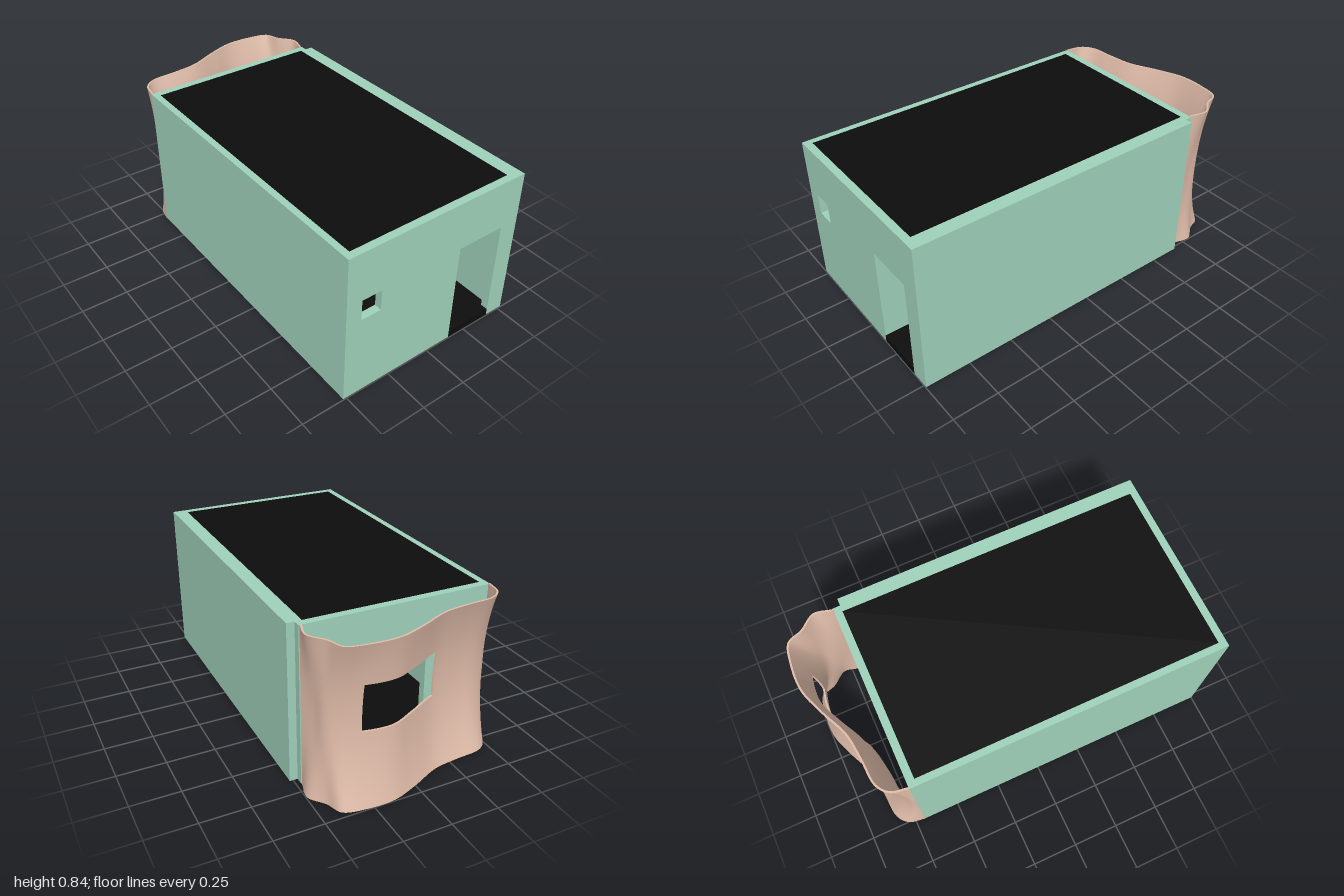
import * as THREE from 'three';
import { mergeGeometries, toCreasedNormals } from 'three/addons/utils/BufferGeometryUtils.js';

const green = new THREE.MeshStandardMaterial({ color: 0x9fd1ba });
const black = new THREE.MeshStandardMaterial({ color: 0x0d0d0d });
const clay = new THREE.MeshStandardMaterial({ color: 0xe0bca9, side: THREE.DoubleSide });

const BASE = 0.006, TOP = 0.84, FLOOR = 0.043, CEILING = 0.803;

function add(group, name, geometry, material) {
  const mesh = new THREE.Mesh(geometry, material);
  mesh.name = name;
  group.add(mesh);
  return mesh;
}

// Box given by its limits on each axis
function block(group, name, material, [x0, x1], [y0, y1], [z0, z1]) {
  const mesh = add(group, name, new THREE.BoxGeometry(x1 - x0, y1 - y0, z1 - z0), material);
  mesh.position.set((x0 + x1) / 2, (y0 + y1) / 2, (z0 + z1) / 2);
}

// Upright wall facing z, with a doorway cut from its foot and optional windows
function wall(group, name, [x0, x1], [z0, z1], door, windows = []) {
  const shape = new THREE.Shape([
    [x0, BASE], [door.x0, BASE], [door.x0, door.top], [door.x1, door.top],
    [door.x1, BASE], [x1, BASE], [x1, TOP], [x0, TOP],
  ].map(p => new THREE.Vector2(...p)));
  for (const [a, b, c, d] of windows) {
    shape.holes.push(new THREE.Path([[a, c], [a, d], [b, d], [b, c]].map(p => new THREE.Vector2(...p))));
  }
  const geometry = new THREE.ExtrudeGeometry(shape, { depth: z1 - z0, bevelEnabled: false });
  add(group, name, geometry, green).position.z = z0;
}

// Wavy screen: plan curve at top and foot blends into a shallower one at mid height
function screenGeometry() {
  const height = 0.843, thickness = 0.01, steps = 6;
  const curve = pts => new THREE.CatmullRomCurve3(pts.map(([x, z]) => new THREE.Vector3(x, 0, z)));
  const edge = curve([[-0.52, -0.7], [-0.5, -0.79], [-0.44, -0.84], [-0.3, -0.855], [-0.16, -0.875], [0, -0.945],
    [0.14, -0.994], [0.285, -0.994], [0.4, -0.965], [0.435, -0.885], [0.495, -0.8], [0.475, -0.7]]);
  const middle = curve([[-0.52, -0.7], [-0.495, -0.725], [-0.42, -0.76], [-0.3, -0.775], [-0.16, -0.805], [0, -0.885],
    [0.13, -0.94], [0.285, -0.925], [0.39, -0.885], [0.43, -0.85], [0.45, -0.78], [0.475, -0.7]]);
  const last = 11;
  const at = (u, v) => {
    const t = THREE.MathUtils.clamp(u / last, 0, 1);
    return edge.getPoint(t).lerp(middle.getPoint(t), 1 - (2 * v - 1) ** 2);
  };
  const patch = (u0, u1, v0, v1, rows) => {
    const geometry = new THREE.BoxGeometry(1, 1, 1, (u1 - u0) * steps, rows, 1);
    const pos = geometry.attributes.position;
    for (let i = 0; i < pos.count; i++) {
      const u = u0 + (u1 - u0) * (pos.getX(i) + 0.5);
      const v = v0 + (v1 - v0) * (pos.getY(i) + 0.5);
      const p = at(u, v);
      const along = at(u + 0.02, v).sub(at(u - 0.02, v)).normalize();
      const offset = thickness * (pos.getZ(i) + 0.5);
      pos.setXYZ(i, p.x - along.z * offset, v * height, p.z + along.x * offset);
    }
    return geometry;
  };
  // Four patches leave the window open between control points 4 and 7
  const sill = 0.445, head = 0.736;
  return toCreasedNormals(mergeGeometries([
    patch(0, last, 0, sill, 10),
    patch(0, 4, sill, head, 7),
    patch(7, last, sill, head, 7),
    patch(0, last, head, 1, 7),
  ]), 0.7);
}

export function createModel() {
  const model = new THREE.Group();
  model.name = 'house';

  // Outer walls
  const shell = new THREE.Group();
  shell.name = 'walls';
  model.add(shell);
  wall(shell, 'frontWall', [-0.52, 0.52], [0.96, 1], { x0: 0.145, x1: 0.415, top: 0.572 },
    [[-0.435, -0.325, 0.458, 0.572]]);
  wall(shell, 'backWall', [-0.52, 0.48], [-0.7, -0.66], { x0: -0.18, x1: 0.28, top: 0.62 });
  block(shell, 'sideWall', green, [-0.52, -0.485], [BASE, TOP], [-0.66, 0.96]);
  block(shell, 'thickSideWall', green, [0.445, 0.52], [BASE, TOP], [-0.66, 0.96]);

  // Small room beside the entrance, with a full-height gap as its doorway
  block(shell, 'crossPartition', green, [-0.485, 0.145], [FLOOR, CEILING], [0.485, 0.52]);
  block(shell, 'entrancePartition', green, [0.108, 0.145], [FLOOR, CEILING], [0.8, 0.96]);
  block(shell, 'doorwayHead', green, [0.108, 0.145], [0.572, CEILING], [0.52, 0.8]);

  // Floor, thresholds and ceiling
  block(model, 'floor', black, [-0.485, 0.445], [BASE, FLOOR], [-0.66, 0.96]);
  block(model, 'frontThreshold', black, [0.145, 0.415], [BASE, FLOOR], [0.96, 1]);
  block(model, 'backThreshold', green, [-0.18, 0.28], [BASE, FLOOR], [-0.7, -0.66]);
  block(model, 'ceiling', black, [-0.485, 0.445], [CEILING, TOP], [-0.66, 0.96]);

  add(model, 'wavyScreen', screenGeometry(), clay);
  return model;
}
